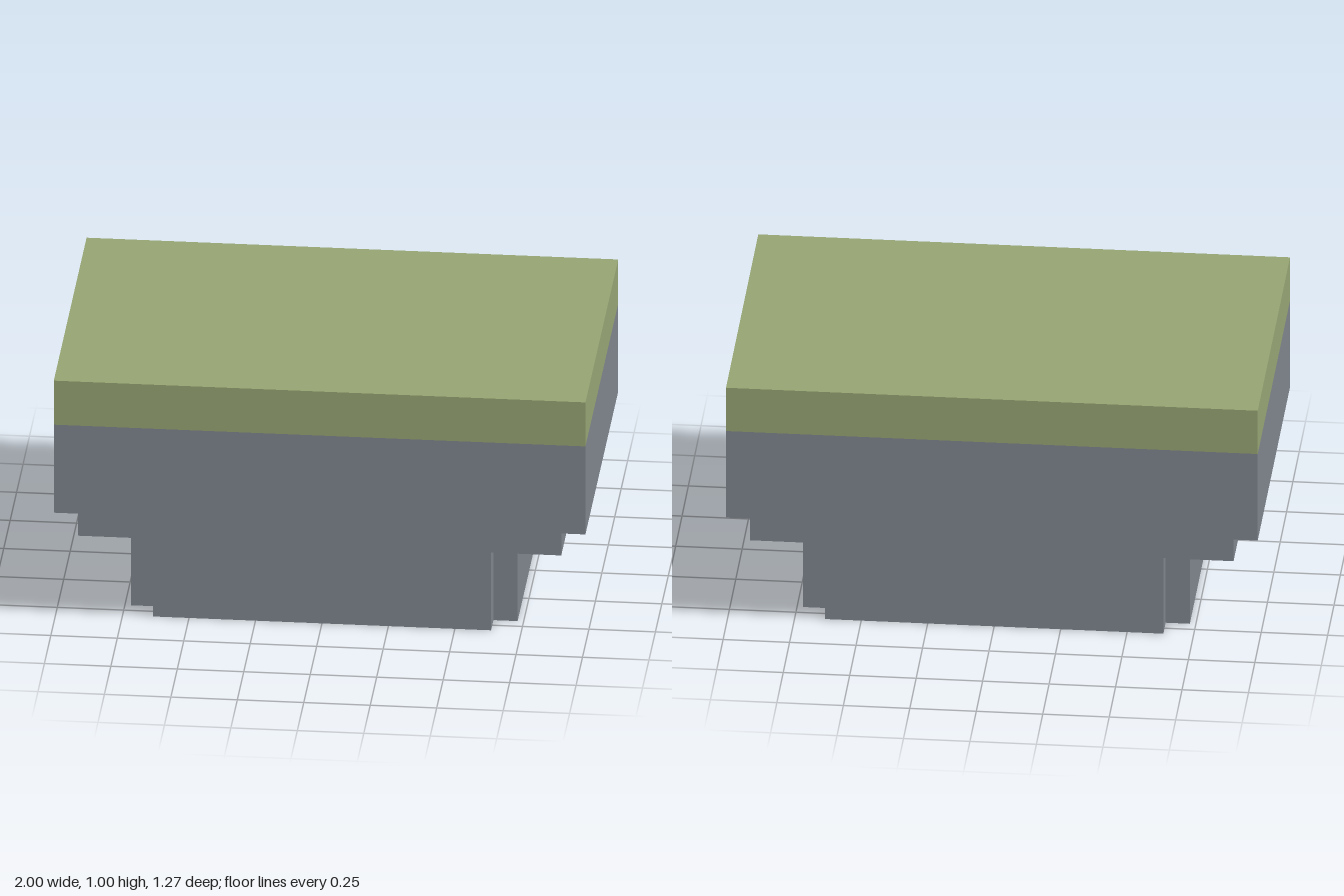
import * as THREE from 'three';

const U = 1 / 11; // one modelling unit

const stone = new THREE.MeshStandardMaterial({ color: 0x7f858e });
stone.name = 'grey stone';
const grass = new THREE.MeshStandardMaterial({ color: 0x96a473 });
grass.name = 'grass green';

// Straight extrusion of an outline given in modelling units
function prism(points, depth) {
  const shape = new THREE.Shape(points.map(([x, y]) => new THREE.Vector2(x * U, y * U)));
  return new THREE.ExtrudeGeometry(shape, { depth: depth * U, bevelEnabled: false });
}

function addPart(group, name, geometry, material) {
  const mesh = new THREE.Mesh(geometry, material);
  mesh.name = name;
  group.add(mesh);
}

export function createModel() {
  const group = new THREE.Group();
  group.name = 'grassPlatform';

  // Pedestal with a square notch cut from each corner
  const pedestal = prism([
    [-7, -6], [7, -6], [7, -5], [8, -5], [8, 5], [7, 5],
    [7, 6], [-7, 6], [-7, 5], [-8, 5], [-8, -5], [-7, -5],
  ], 4);
  pedestal.rotateX(-Math.PI / 2);
  addPart(group, 'pedestal', pedestal, stone);

  // Wide block, stepped in along its left and right lower edges
  const block = prism([
    [-10, 4], [10, 4], [10, 5], [11, 5], [11, 9], [-11, 9], [-11, 5], [-10, 5],
  ], 14);
  block.translate(0, 0, -7 * U);
  addPart(group, 'steppedBlock', block, stone);

  // Grass layer on top
  const top = new THREE.BoxGeometry(22 * U, 2 * U, 14 * U);
  top.translate(0, 10 * U, 0);
  addPart(group, 'grassLayer', top, grass);

  return group;
}
